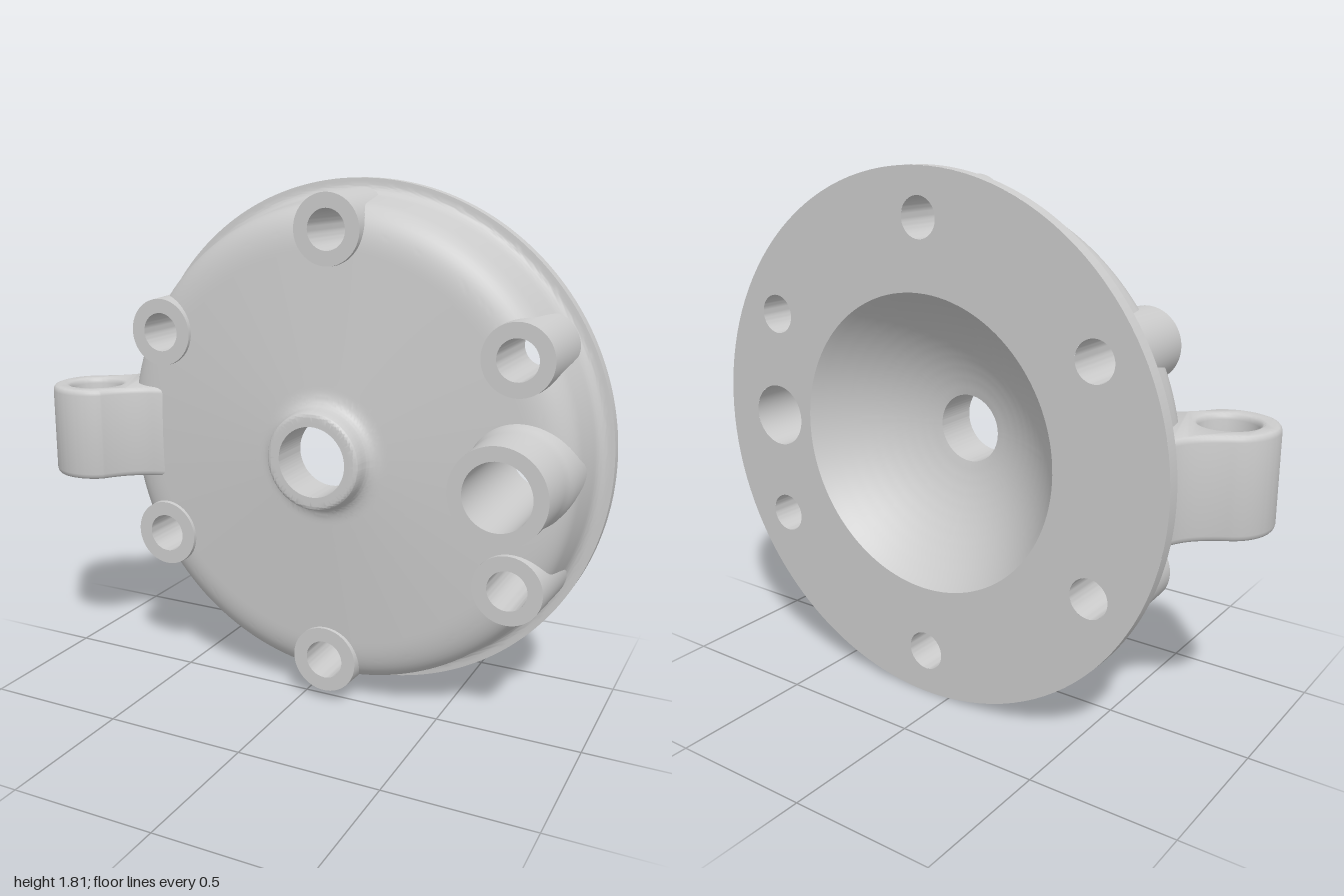
import * as THREE from 'three';
import { mergeVertices, toCreasedNormals } from 'three/addons/utils/BufferGeometryUtils.js';

const material = new THREE.MeshStandardMaterial({ color: 0xcccccc });
const RIM = 0.907, CX = 0.093, BACK = -0.267;
const BOLT_R = 0.068, PORT_R = 0.11, PORT_X = 0.665;

// Bolt centres on a six-hole circle, relative to the disc axis
const boltAngles = [30, 90, 150, 210, 270, 330].map(THREE.MathUtils.degToRad);
const bolts = boltAngles.map(a => new THREE.Vector2(0.748 * Math.cos(a), 0.748 * Math.sin(a)));

function mesh(name, geometry) {
  const m = new THREE.Mesh(geometry, material);
  m.name = name;
  return m;
}

// Lathe around the z axis from [radius, z] pairs
function latheZ(points, segments) {
  const pts = points.map(p => new THREE.Vector2(p[0], p[1]));
  return new THREE.LatheGeometry(pts, segments).rotateX(Math.PI / 2);
}

function creased(geometry, angle = 0.6) {
  geometry.deleteAttribute('uv');
  geometry.deleteAttribute('normal');
  return toCreasedNormals(mergeVertices(geometry, 1e-5), angle);
}

// Cover section: flange, rounded shoulder, conical face, hub, bore, dome
function coverProfile() {
  const p = new THREE.Path();
  p.moveTo(RIM, BACK);
  p.lineTo(RIM, -0.222);
  p.lineTo(0.885, -0.22);
  p.quadraticCurveTo(0.862, -0.216, 0.854, -0.185);
  p.lineTo(0.836, -0.07);
  p.quadraticCurveTo(0.825, 0.02, 0.7, 0.034);
  p.lineTo(0.24, 0.07);
  p.quadraticCurveTo(0.182, 0.073, 0.173, 0.105);
  p.lineTo(0.167, 0.143);
  p.quadraticCurveTo(0.165, 0.157, 0.15, 0.157);
  p.lineTo(0.12, 0.157);
  p.lineTo(0.12, -0.002);
  p.quadraticCurveTo(0.34, -0.045, 0.51, BACK);
  const raw = p.getPoints(10), out = [raw[0]];
  for (let i = 1; i < raw.length; i++) {
    const n = Math.ceil(raw[i].distanceTo(raw[i - 1]) / 0.02);
    for (let k = 1; k <= n; k++) out.push(raw[i - 1].clone().lerp(raw[i], k / n));
  }
  return out.map(v => [v.x, v.y]);
}

function coverGeometry() {
  const g = latheZ(coverProfile(), 240);
  const pos = g.attributes.position;
  const index = [];
  // Open the surface under each boss so that the holes go through
  const inside = (x, y) => Math.hypot(x - PORT_X, y) < 0.137 ||
    bolts.some(b => Math.hypot(x - b.x, y - b.y) < 0.09);
  for (let i = 0; i < g.index.count; i += 3) {
    const t = [0, 1, 2].map(k => g.index.getX(i + k));
    const x = (pos.getX(t[0]) + pos.getX(t[1]) + pos.getX(t[2])) / 3;
    const y = (pos.getY(t[0]) + pos.getY(t[1]) + pos.getY(t[2])) / 3;
    if (!inside(x, y)) index.push(...t);
  }
  g.setIndex(index);
  return creased(g);
}

// Flat mounting face with all openings, facing back
function backGeometry() {
  const s = new THREE.Shape().absarc(0, 0, RIM, 0, Math.PI * 2);
  const hole = (x, y, r) => s.holes.push(new THREE.Path().absarc(x, y, r, 0, Math.PI * 2, true));
  hole(0, 0, 0.51);
  hole(-PORT_X, 0, PORT_R);
  bolts.forEach(b => hole(-b.x, b.y, BOLT_R));
  return new THREE.ShapeGeometry(s, 60).rotateY(Math.PI).translate(0, 0, BACK);
}

// Side lug with a vertical eye, drawn in plan and extruded upwards
function lugGeometry() {
  const cx = -0.843, cv = -0.053, r = 0.157;
  const a0 = THREE.MathUtils.degToRad(122), a1 = THREE.MathUtils.degToRad(310);
  const s = new THREE.Shape();
  s.moveTo(-0.5, 0.225);
  s.lineTo(-0.795, 0.225);
  s.quadraticCurveTo(-0.815, 0.14, cx + r * Math.cos(a0), cv + r * Math.sin(a0));
  s.absarc(cx, cv, r, a0, a1, false);
  s.quadraticCurveTo(-0.685, -0.08, -0.6, -0.05);
  s.lineTo(-0.5, -0.01);
  s.holes.push(new THREE.Path().absarc(cx, cv, 0.094, 0, Math.PI * 2, true));
  const g = new THREE.ExtrudeGeometry(s, {
    depth: 0.29, curveSegments: 32, bevelEnabled: true,
    bevelThickness: 0.02, bevelSize: 0.015, bevelOffset: -0.015, bevelSegments: 3,
  });
  return creased(g.rotateX(-Math.PI / 2).translate(0, 0.765, 0));
}

export function createModel() {
  const model = new THREE.Group();
  model.name = 'roundCover';
  const disc = new THREE.Group();
  disc.name = 'disc';
  disc.position.set(CX, RIM, 0);
  model.add(disc);

  disc.add(mesh('cover', coverGeometry()), mesh('mountingFace', backGeometry()));

  // Six bolt bosses with a slight draft
  const boss = creased(latheZ([
    [0.13, -0.215], [0.118, 0.052], [BOLT_R, 0.052], [BOLT_R, BACK],
  ], 60));
  bolts.forEach(b => {
    const m = mesh('boltBoss', boss);
    m.position.set(b.x, b.y, 0);
    disc.add(m);
  });

  // Tall port with a small fillet at its foot
  const port = mesh('port', creased(latheZ([
    [0.18, -0.21], [0.174, 0.04], [0.167, 0.06], [0.162, 0.1],
    [0.157, 0.267], [PORT_R, 0.267], [PORT_R, BACK],
  ], 60)));
  port.position.x = PORT_X;
  disc.add(port);

  model.add(mesh('sideLug', lugGeometry()));
  return model;
}
